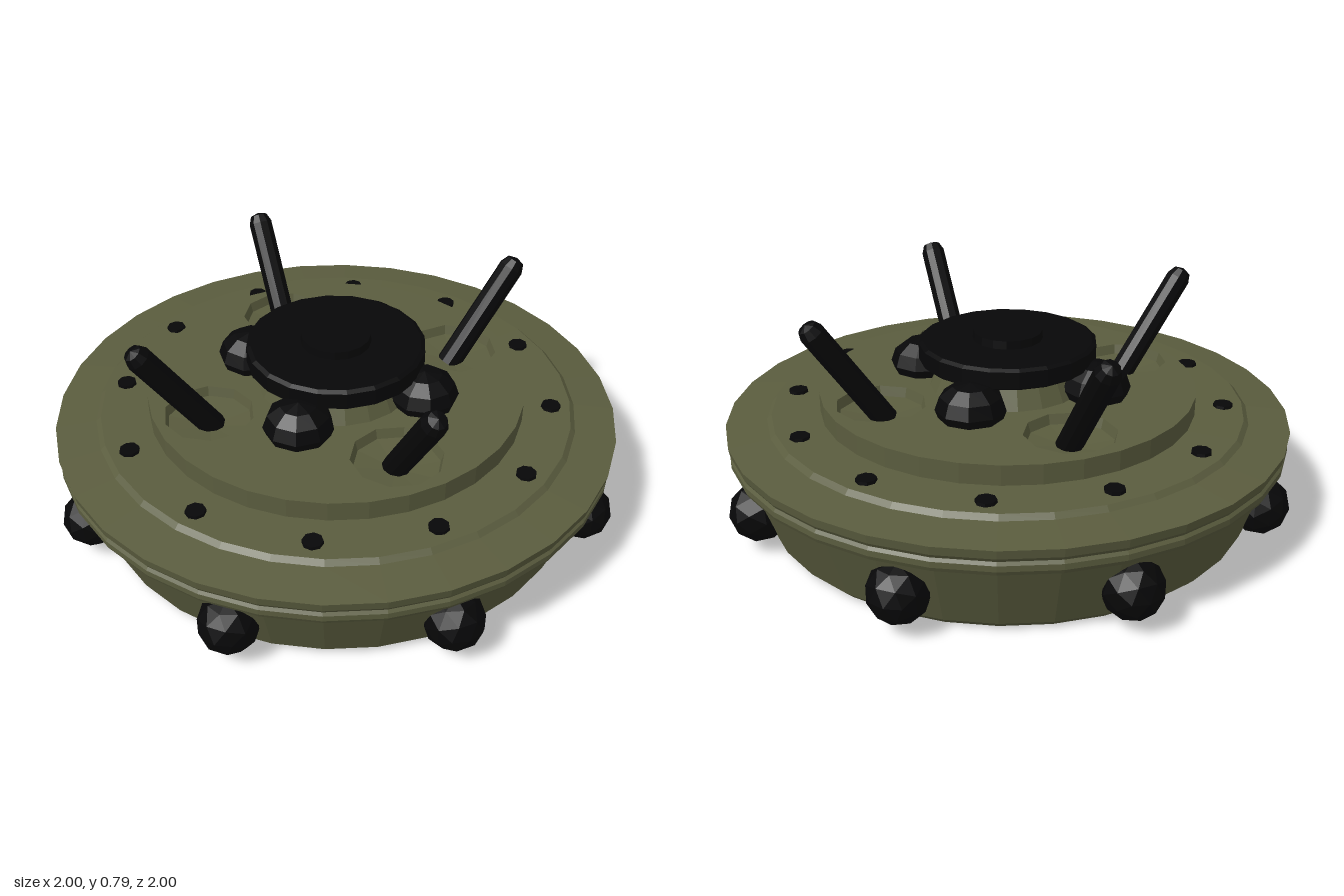
import * as THREE from 'three';

const olive = new THREE.MeshStandardMaterial({ color: 0x5a5c3e });
olive.name = 'olive drab';
const black = new THREE.MeshStandardMaterial({ color: 0x070708 });
black.name = 'black';

const rad = THREE.MathUtils.degToRad;

// Faceted mesh
function part(name, geometry, material) {
  const g = geometry.index ? geometry.toNonIndexed() : geometry;
  g.computeVertexNormals();
  const mesh = new THREE.Mesh(g, material);
  mesh.name = name;
  return mesh;
}

const lathe = (points, sides) =>
  new THREE.LatheGeometry(points.map(([r, y]) => new THREE.Vector2(r, y)), sides);

// Places n parts evenly around the vertical axis
function ring(n, startDeg, radius, y, make) {
  for (let i = 0; i < n; i++) {
    const a = rad(startDeg + (i * 360) / n);
    const mesh = make();
    mesh.position.set(radius * Math.cos(a), y, radius * Math.sin(a));
    mesh.rotation.y = -a;
  }
}

export function createModel() {
  const model = new THREE.Group();
  model.name = 'roundCasing';
  const add = (name, geometry, material) => {
    const mesh = part(name, geometry, material);
    model.add(mesh);
    return mesh;
  };

  // Main casing, with a hollow underside, a banded rim and a stepped top
  add('casing', lathe([
    [0, 0.06], [0.68, 0.05], [0.69, 0], [0.85, 0], [0.875, 0.025],
    [0.96, 0.265], [0.988, 0.27], [0.995, 0.285], [0.995, 0.305], [0.987, 0.315],
    [0.995, 0.328], [1, 0.358], [0.857, 0.372], [0.84, 0.388], [0, 0.39],
  ], 32), olive);

  // Crossed ribs under the casing
  for (const deg of [62, 152]) {
    const rib = add('undersideRib', new THREE.BoxGeometry(1.38, 0.06, 0.06), olive);
    rib.position.y = 0.036;
    rib.rotation.y = -rad(deg);
  }

  // Raised deck with four holes
  const deckShape = new THREE.Shape();
  deckShape.absarc(0, 0, 0.67, 0, Math.PI * 2);
  for (let i = 0; i < 4; i++) {
    const a = rad(18 + i * 90);
    const hole = [];
    for (let k = 0; k < 10; k++) {
      const b = a + (k * Math.PI) / 5;
      hole.push(new THREE.Vector2(
        0.48 * Math.cos(a) + 0.157 * Math.cos(b),
        -0.48 * Math.sin(a) - 0.157 * Math.sin(b)));
    }
    deckShape.holes.push(new THREE.Path(hole));
  }
  const deckGeometry = new THREE.ExtrudeGeometry(deckShape,
    { depth: 0.07, bevelEnabled: false, curveSegments: 16 });
  deckGeometry.rotateX(-Math.PI / 2);
  add('deck', deckGeometry, olive).position.y = 0.39;

  // Shallow dished wells filling the holes
  const wellGeometry = lathe([[0.157, 0.07], [0.147, 0.035], [0, 0.015]], 10);
  wellGeometry.rotateY(Math.PI / 2);
  ring(4, 18, 0.48, 0.39, () => add('well', wellGeometry, olive));

  // Leaning prongs standing in the wells
  const foot = new THREE.Vector3(0.465, 0.4, 0);
  const tip = new THREE.Vector3(0.703, 0.75, 0);
  const axis = tip.clone().sub(foot);
  const prongGeometry = lathe([
    [0, 0], [0.045, 0], [0.045, axis.length()],
    [0.032, axis.length() + 0.03], [0, axis.length() + 0.04],
  ], 10);
  prongGeometry.rotateZ(-Math.atan2(axis.x, axis.y));
  ring(4, 18, foot.x, foot.y, () => add('prong', prongGeometry, black));

  // Bolts around the rim
  const boltGeometry = new THREE.CylinderGeometry(0.034, 0.036, 0.016, 8);
  ring(12, 18, 0.77, 0.391, () => add('rimBolt', boltGeometry, black));

  // Knobs around the side wall
  const knobGeometry = new THREE.IcosahedronGeometry(0.103, 1);
  ring(8, 19, 0.925, 0.137, () => add('sideKnob', knobGeometry, black));

  // Hub with its pressure plate and cap
  add('hub', lathe([[0.28, 0.455], [0.23, 0.56], [0, 0.56]], 20), olive);
  add('pressurePlate', lathe([
    [0, 0.55], [0.3, 0.55], [0.315, 0.56], [0.315, 0.618], [0.3, 0.626], [0, 0.626],
  ], 20), black);
  add('plateCap', new THREE.CylinderGeometry(0.122, 0.125, 0.04, 16), black).position.y = 0.635;

  // Squat domes around the hub
  const domeGeometry = new THREE.SphereGeometry(0.122, 9, 6);
  domeGeometry.scale(1, 0.75, 1);
  ring(4, 65, 0.33, 0.49, () => add('hubDome', domeGeometry, black));

  return model;
}
